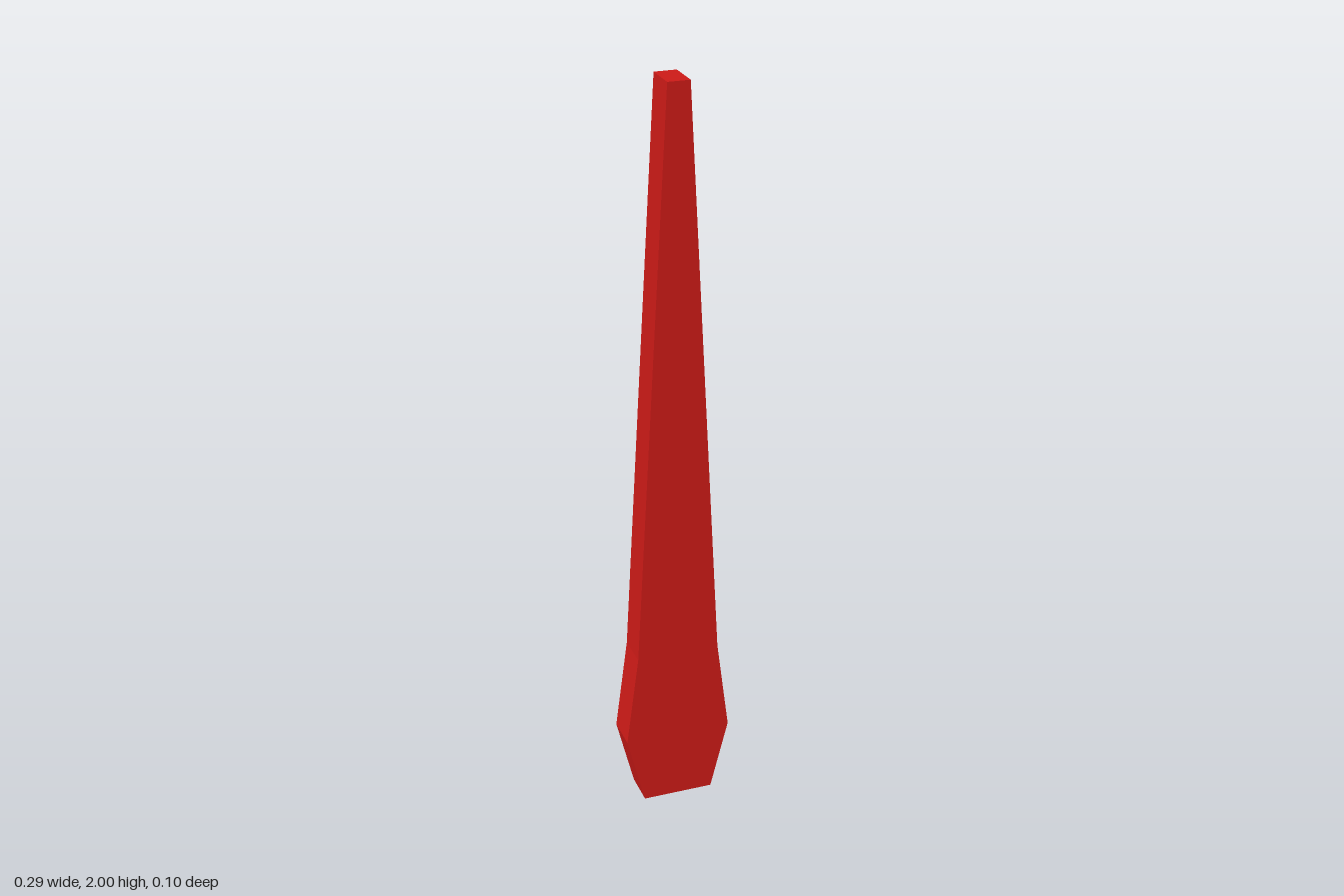
import * as THREE from 'three';

export function createModel() {
  const group = new THREE.Group();
  const material = new THREE.MeshStandardMaterial({ color: 0xcc1a17, flatShading: true });

  // Half outline of the tapered needle, from its base to its blunt tip
  const half = [[0.096, 0], [0.145, 0.195], [0.112, 0.45], [0.029, 2]];
  const mirrored = half.map(([x, y]) => [-x, y]).reverse();
  const outline = new THREE.Shape([...half, ...mirrored].map(([x, y]) => new THREE.Vector2(x, y)));

  // Flat slab of even thickness, centred on z
  const depth = 0.096;
  const geometry = new THREE.ExtrudeGeometry(outline, { depth, bevelEnabled: false });
  geometry.translate(0, 0, -depth / 2);

  const needle = new THREE.Mesh(geometry, material);
  needle.name = 'needle';
  group.add(needle);
  return group;
}
